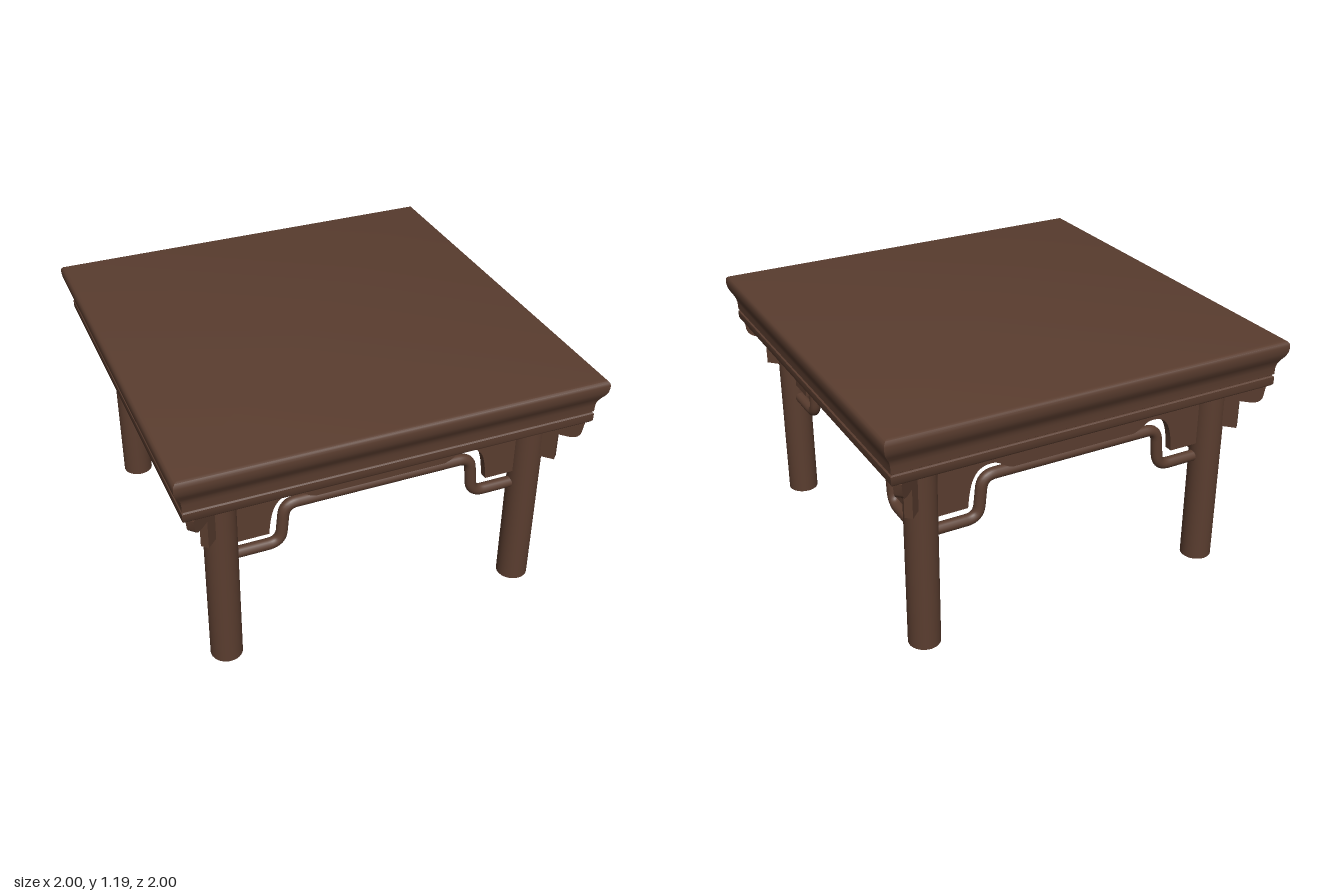
import * as THREE from 'three';
import { toCreasedNormals } from 'three/addons/utils/BufferGeometryUtils.js';

const LEG_X = 0.752, LEG_Z = 0.771, LEG_R = 0.075, UNDER = 0.958;

// Square moulded top: a four-sided lathe of the edge profile
function topGeometry() {
  const profile = [
    [0, UNDER], [0.955, UNDER], [0.962, 0.968], [0.962, 1.003], [0.955, 1.008], [0.955, 1.012],
    [0.961, 1.016], [0.962, 1.05], [0.966, 1.07], [0.976, 1.09], [0.989, 1.11], [0.997, 1.13],
    [1, 1.15], [1, 1.165], [0.997, 1.178], [0.989, 1.186], [0.976, 1.19], [0, 1.19],
  ].map(([r, y]) => new THREE.Vector2(r * Math.SQRT2, y));
  return toCreasedNormals(new THREE.LatheGeometry(profile, 4, Math.PI / 4), 0.7);
}

// Apron board with an arch at each shoulder; half is the distance to the leg centre
function apronGeometry(half) {
  const o = half - LEG_X;
  const s = new THREE.Shape();
  s.moveTo(-half, UNDER);
  s.lineTo(-half, 0.643);
  s.lineTo(-0.535 - o, 0.643);
  s.bezierCurveTo(-0.525 - o, 0.76, -0.51 - o, 0.835, -0.42 - o, 0.835);
  s.bezierCurveTo(-0.37 - o, 0.835, -0.36 - o, 0.79, -0.29 - o, 0.785);
  s.lineTo(0.29 + o, 0.785);
  s.bezierCurveTo(0.36 + o, 0.79, 0.37 + o, 0.835, 0.42 + o, 0.835);
  s.bezierCurveTo(0.51 + o, 0.835, 0.525 + o, 0.76, 0.535 + o, 0.643);
  s.lineTo(half, 0.643);
  s.lineTo(half, UNDER);
  const g = new THREE.ExtrudeGeometry(s, { depth: 0.04, bevelEnabled: false, curveSegments: 12 });
  g.translate(0, 0, -0.02);
  return toCreasedNormals(g, 0.6);
}

// Humped stretcher: a round bar with filleted corners
function stretcherGeometry(half) {
  const v = 0.465 + (half - LEG_X) * 0.5, low = 0.57, high = 0.772, r = 0.06;
  const pts = [[-half, low], [-v - 0.01, low], [-v + 0.01, high], [v - 0.01, high], [v + 0.01, low], [half, low]]
    .map(([x, y]) => new THREE.Vector3(x, y, 0));
  const path = new THREE.CurvePath();
  let from = pts[0];
  for (let i = 1; i < pts.length - 1; i++) {
    const toward = (p) => pts[i].clone().add(p.clone().sub(pts[i]).setLength(r));
    const a = toward(pts[i - 1]), b = toward(pts[i + 1]);
    path.add(new THREE.LineCurve3(from, a));
    path.add(new THREE.QuadraticBezierCurve3(a, pts[i], b));
    from = b;
  }
  path.add(new THREE.LineCurve3(from, pts[pts.length - 1]));
  return new THREE.TubeGeometry(path, 160, 0.027, 14);
}

// Stepped bracket plate, growing outward along +x from the leg
function bracketGeometry() {
  const s = new THREE.Shape();
  s.moveTo(0.04, UNDER);
  s.lineTo(0.04, 0.73);
  s.lineTo(0.14, 0.73);
  s.lineTo(0.14, 0.872);
  s.lineTo(0.19, 0.872);
  s.quadraticCurveTo(0.235, 0.874, 0.245, 0.905);
  s.lineTo(0.253, UNDER);
  const g = new THREE.ExtrudeGeometry(s, { depth: 0.038, bevelEnabled: false, curveSegments: 8 });
  g.translate(0, 0, -0.019);
  return toCreasedNormals(g, 0.6);
}

export function createModel() {
  const model = new THREE.Group();
  model.name = 'squareTable';
  const wood = new THREE.MeshStandardMaterial({ color: 0x5a3d2f });
  wood.name = 'darkWood';

  const add = (name, geometry, x = 0, y = 0, z = 0, turn = 0) => {
    const mesh = new THREE.Mesh(geometry, wood);
    mesh.name = name;
    mesh.position.set(x, y, z);
    mesh.rotation.y = turn;
    model.add(mesh);
  };

  add('tableTop', topGeometry());

  // Legs with a diagonal bracket on each outer corner
  const leg = new THREE.CylinderGeometry(LEG_R, LEG_R, UNDER, 32);
  const bracket = bracketGeometry();
  for (const sx of [-1, 1]) {
    for (const sz of [-1, 1]) {
      const end = (sz > 0 ? 'Front' : 'Back') + (sx > 0 ? 'Left' : 'Right');
      add('leg' + end, leg, sx * LEG_X, UNDER / 2, sz * LEG_Z);
      add('bracket' + end, bracket, sx * LEG_X, 0, sz * LEG_Z, Math.atan2(-sz, sx));
    }
  }

  // Aprons and stretchers on all four sides
  const apronX = apronGeometry(LEG_X), apronZ = apronGeometry(LEG_Z);
  const barX = stretcherGeometry(LEG_X), barZ = stretcherGeometry(LEG_Z);
  for (const s of [-1, 1]) {
    const face = s > 0 ? 'Front' : 'Back', side = s > 0 ? 'Left' : 'Right';
    add('apron' + face, apronX, 0, 0, s * LEG_Z);
    add('stretcher' + face, barX, 0, 0, s * LEG_Z);
    add('apron' + side, apronZ, s * LEG_X, 0, 0, Math.PI / 2);
    add('stretcher' + side, barZ, s * LEG_X, 0, 0, Math.PI / 2);
  }
  return model;
}
